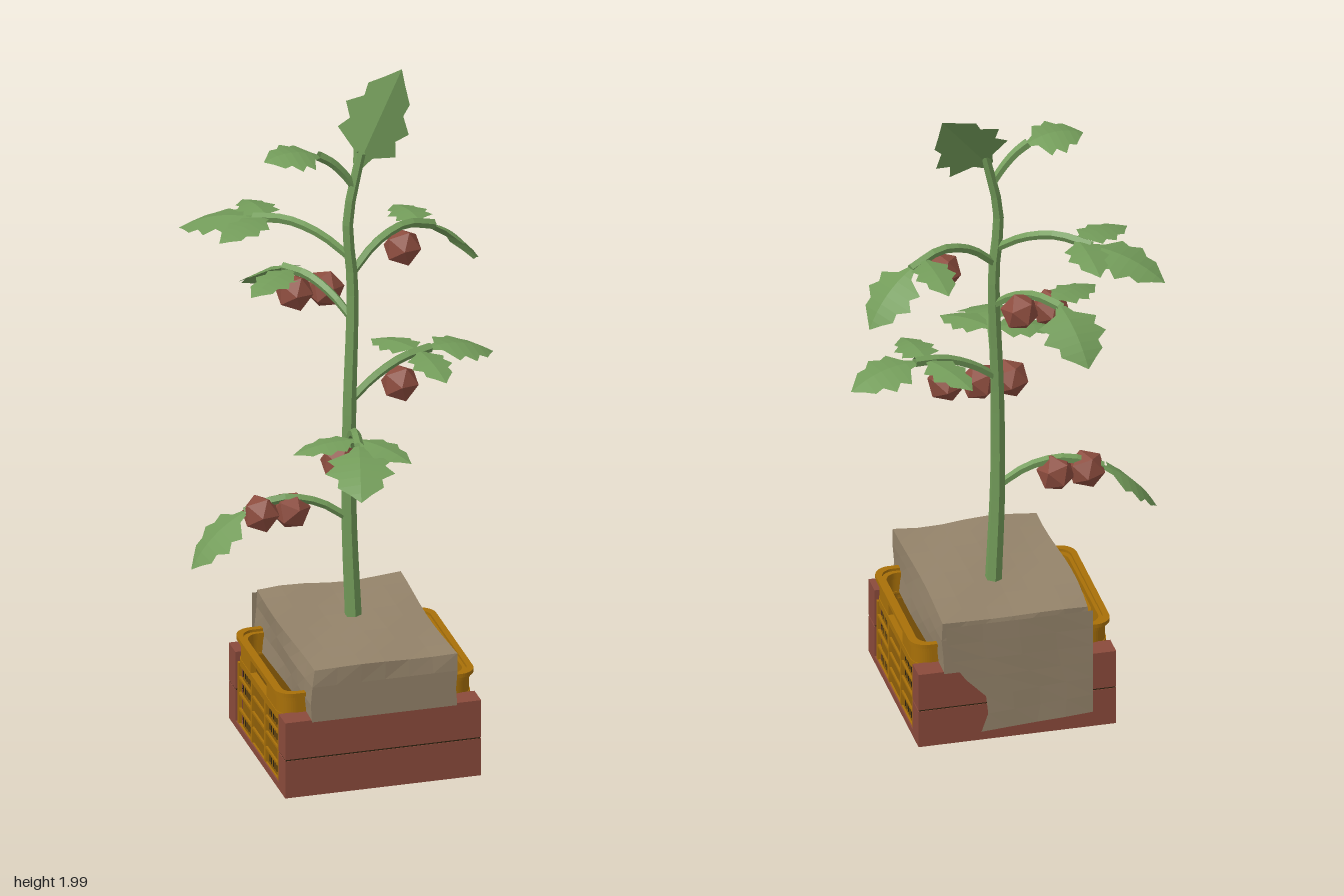
import * as THREE from 'three';

const mat = (name, color, extra = {}) => Object.assign(new THREE.MeshStandardMaterial({ color, flatShading: true, ...extra }), { name });
const V = (x, y, z) => new THREE.Vector3(x, y, z);

export function createModel() {
  const model = new THREE.Group();
  model.name = 'pottedTomatoPlant';
  const M = {
    wood: mat('redWood', 0x8a4a3b),
    yellow: mat('yellowPlastic', 0xa87008),
    panel: mat('shadedYellowPlastic', 0x8f5f08),
    slot: mat('darkSlots', 0x2e2310),
    bag: mat('soilBag', 0x94836a, { side: THREE.DoubleSide }),
    leaf: mat('plantGreen', 0x739c5a, { side: THREE.DoubleSide }),
    fruit: mat('fruitRed', 0x8c4c3e),
  };
  const add = (name, geo, material) => {
    const m = new THREE.Mesh(geo, material);
    m.name = name;
    model.add(m);
    return m;
  };
  const box = (name, w, h, d, x, y, z, material) => {
    const m = add(name, new THREE.BoxGeometry(w, h, d), material);
    m.position.set(x, y, z);
    return m;
  };

  // Wooden tray: floor and two boards at each end
  box('trayFloor', 0.58, 0.02, 0.58, 0, 0.011, 0, M.wood);
  for (const s of [1, -1]) {
    for (const y of [0.0585, 0.178]) box('trayBoard', 0.58, 0.115, 0.068, 0, y, s * 0.256, M.wood);
    box('boardGap', 0.576, 0.008, 0.064, 0, 0.118, s * 0.256, M.slot);
  }

  // Plastic crate from rounded outlines; a half outline starts and ends at z = start
  const halfOutline = (p, w, d, r, start) => {
    p.moveTo(w, start);
    p.lineTo(w, d - r);
    p.absarc(w - r, d - r, r, 0, Math.PI / 2);
    p.absarc(r - w, d - r, r, Math.PI / 2, Math.PI);
    p.lineTo(-w, start);
    return p;
  };
  const crateRing = (name, w, d, t, y, h, material, gap = 0) => {
    const shape = halfOutline(new THREE.Shape(), w, d, 0.05, gap);
    const inner = halfOutline(new THREE.Path(), w - t, d - t, 0.04, gap).getPoints(6).reverse();
    for (const q of inner) shape.lineTo(q.x, q.y);
    for (const turn of [0, Math.PI]) {
      const g = new THREE.ExtrudeGeometry(shape, { depth: h, bevelEnabled: false, curveSegments: 6 });
      add(name, g.rotateX(-Math.PI / 2).rotateY(turn).translate(0, y, 0), material);
    }
  };
  crateRing('crateWall', 0.28, 0.222, 0.014, 0.012, 0.213, M.panel);
  crateRing('crateBand', 0.287, 0.228, 0.02, 0.208, 0.022, M.yellow);
  crateRing('handleBand', 0.285, 0.226, 0.016, 0.225, 0.052, M.yellow, 0.082);
  crateRing('crateTop', 0.287, 0.228, 0.02, 0.272, 0.02, M.yellow);
  crateRing('crateLip', 0.295, 0.238, 0.018, 0.288, 0.012, M.yellow);

  // Ribs and slots on both crate sides
  for (const s of [1, -1]) {
    for (let i = 0; i < 4; i++) {
      box('crateRib', 0.008, 0.007, 0.42, s * 0.282, 0.018 + i * 0.049, 0, M.yellow);
      box('cratePost', 0.01, 0.2, 0.012, s * 0.282, 0.11, -0.207 + i * 0.138, M.yellow);
    }
    for (const y of [0.042, 0.142, 0.19]) for (const z of [-0.135, 0.135]) for (let i = -2; i <= 2; i++)
      box('slot', 0.004, 0.02, 0.006, s * 0.279, y, z + i * 0.018, M.slot);
  }

  // Soil bag: a creased block with a flap hanging down the back
  const reshape = (geo, rule) => {
    const p = geo.attributes.position;
    for (let i = 0; i < p.count; i++) p.setXYZ(i, ...rule(p.getX(i), p.getY(i), p.getZ(i), i));
    geo.computeVertexNormals();
    return geo;
  };
  const bag = new THREE.BoxGeometry(0.43, 0.162, 0.585, 6, 3, 8).translate(0.004, 0.311, 0);
  add('soilBag', reshape(bag, (x, y, z) => {
    const wave = Math.sin(17 * x + 9 * z);
    const k = y > 0.38 ? 0.985 + 0.015 * wave : 1;
    return [x * k + 0.004 * Math.sin(30 * y + 9 * z), y > 0.38 ? y - 0.002 + 0.004 * wave : y, z * k];
  }), M.bag);
  add('bagFlap', reshape(new THREE.PlaneGeometry(1, 0.34, 4, 6), (u, y0) => {
    const y = y0 + 0.21, low = THREE.MathUtils.clamp((0.25 - y) / 0.07, 0, 1);
    const edge = 0.205 - 0.11 * low + 0.012 * Math.sin(40 * y);
    return [THREE.MathUtils.lerp(-0.22, edge, u + 0.5), y - 0.02 * u * low, -0.296 + 0.001 * Math.sin(9 * u + 15 * y)];
  }), M.bag);

  // Tapered stalk along a smooth curve
  const stalk = (name, curve, r0, r1, segs, sides) => {
    const tube = new THREE.TubeGeometry(curve, segs, 1, sides);
    add(name, reshape(tube, (x, y, z, i) => {
      const t = Math.floor(i / (sides + 1)) / segs, c = curve.getPointAt(t);
      return V(x, y, z).sub(c).multiplyScalar(r0 + (r1 - r0) * t).add(c).toArray();
    }), M.leaf);
  };

  // Lobed leaf folded along its midrib: half width changes at equal steps
  const LOBES = [0.15, 0.3, 0.92, 0.72, 1, 0.62, 0.66, 0.32, 0.01];
  const leaf = (name, a, b, half, arch, normal = V(0, 1, 0)) => {
    const side = b.clone().sub(a).cross(normal).normalize();
    const up = side.clone().cross(b.clone().sub(a)).normalize();
    const g = new THREE.PlaneGeometry(1, 1, 2, LOBES.length - 1);
    add(name, reshape(g, (x, y, z, i) => {
      const row = Math.floor(i / 3), u = row / (LOBES.length - 1), w = 2 * x * LOBES[row] * half;
      const lift = arch * 4 * u * (1 - u) - Math.abs(w) * 0.18;
      return a.clone().lerp(b, u).addScaledVector(side, w).addScaledVector(up, lift).toArray();
    }), M.leaf);
  };

  // Main stem and crown leaf
  const stem = new THREE.CatmullRomCurve3([
    V(0.012, 0.36, -0.055), V(0, 0.7, -0.06), V(0.003, 1, -0.068), V(0.02, 1.4, -0.095),
    V(0.008, 1.6, -0.1), V(0.05, 1.8, -0.112),
  ]);
  stalk('mainStem', stem, 0.025, 0.014, 20, 6);
  leaf('crownLeaf', V(0.04, 1.765, -0.105), V(0.205, 1.99, -0.23), 0.108, 0, V(0.22, 0.5, 0.84));

  // Branch: arched stalk from the stem at height y, end leaf, side leaflets turned off it, hanging fruit
  const branch = (y, end, tip, arch, turns, fruits = 0, drop = 0, hang = 0.62) => {
    const start = stem.getPointAt((y - 0.36) / 1.45);
    const along = (t) => start.clone().lerp(end, t).add(V(0, arch * 4 * t * (1 - t), 0));
    stalk('branch', new THREE.CatmullRomCurve3([0, 0.3, 0.65, 1].map(along)), 0.012, 0.015, 8, 5);
    leaf('endLeaf', end, tip, 0.1, 0.02);
    const heading = Math.atan2(end.z - start.z, end.x - start.x);
    for (const turn of turns) {
      const a = heading + turn, from = along(0.85);
      leaf('sideLeaf', from, from.clone().add(V(0.19 * Math.cos(a), -0.025, 0.19 * Math.sin(a))), 0.062, 0.012);
    }
    for (let i = 0; i < fruits; i++) {
      const f = add('fruit', new THREE.IcosahedronGeometry(0.057, 0), M.fruit);
      f.position.copy(along(hang)).add(V((i - (fruits - 1) / 2) * 0.09, -drop, 0));
      f.rotation.set(0.4 + i, 0.7 * i, 0.3);
    }
  };
  branch(0.69, V(-0.3, 0.73, -0.095), V(-0.46, 0.575, -0.085), 0.055, [], 2, 0.04, 0.7);
  branch(0.92, V(-0.06, 1.055, 0.25), V(-0.115, 0.98, 0.465), 0.04, [1.38, -0.85], 2, 0.085, 0.52);
  branch(1.05, V(0.26, 1.162, -0.125), V(0.455, 1.11, -0.16), 0.03, [1.63, -1.87], 1, 0.075);
  branch(1.44, V(0.29, 1.51, -0.2), V(0.425, 1.36, -0.255), 0.06, [-1.35], 1, 0.07);
  branch(1.49, V(-0.22, 1.56, -0.28), V(-0.4, 1.49, -0.42), 0.04, [0.8, -1.14]);
  branch(1.3, V(-0.125, 1.385, -0.3), V(-0.165, 1.265, -0.465), 0.035, [-1.57], 2, 0.045);
  branch(1.71, V(-0.08, 1.815, -0.098), V(-0.245, 1.82, -0.085), 0.015, []);
  return model;
}
